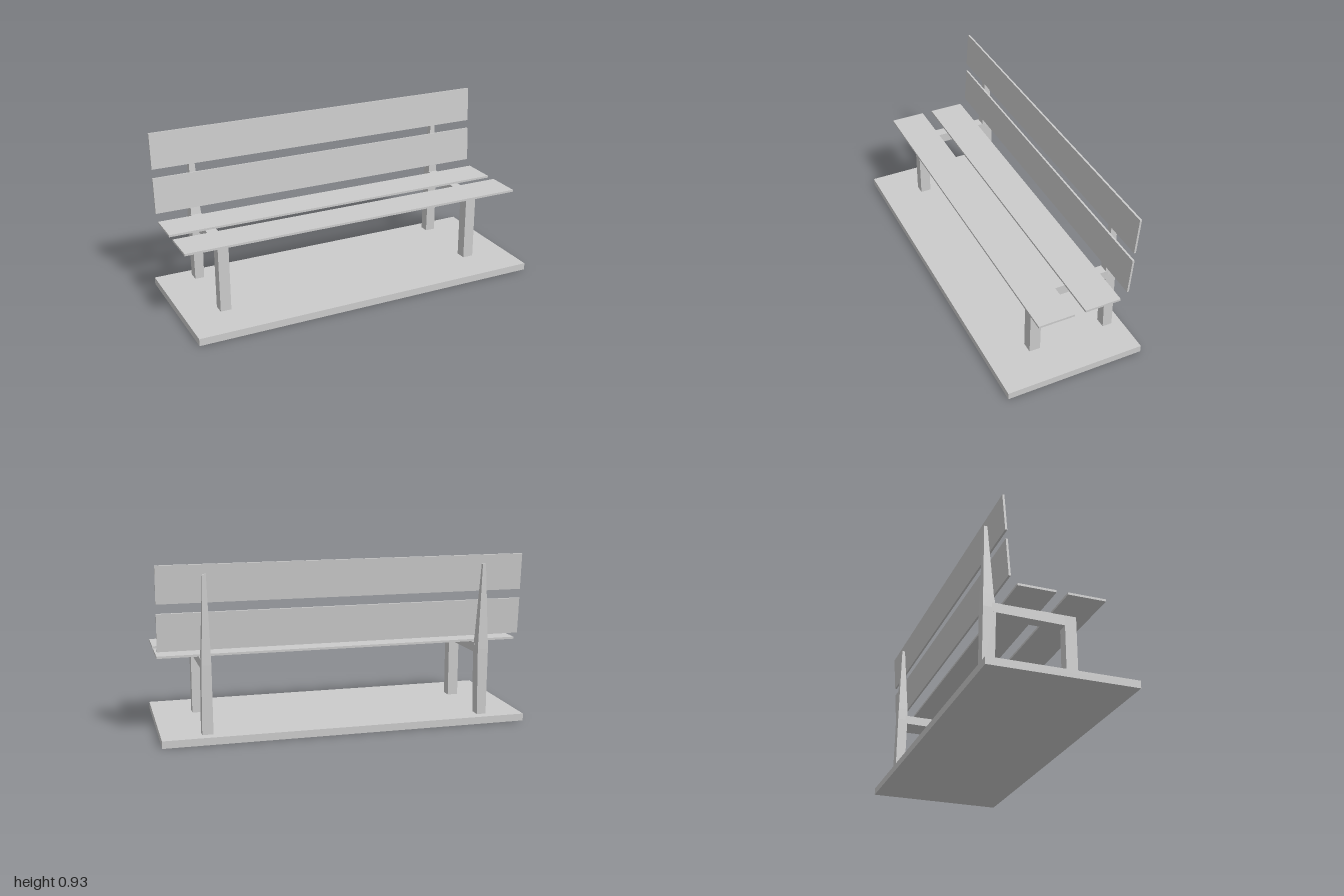
import * as THREE from 'three';

const material = new THREE.MeshStandardMaterial({ color: 0xcccccc, flatShading: true });

function add(group, name, geometry) {
  const mesh = new THREE.Mesh(geometry, material);
  mesh.name = name;
  group.add(mesh);
  return mesh;
}

// Box given by its limits on each axis
function block(x0, x1, y0, y1, z0, z1) {
  return new THREE.BoxGeometry(x1 - x0, y1 - y0, z1 - z0)
    .translate((x0 + x1) / 2, (y0 + y1) / 2, (z0 + z1) / 2);
}

// Upright box whose rectangular section changes with height: [y, x0, x1, zBack, zFront]
function taperedPost(sections) {
  const n = sections.length - 1;
  const geometry = new THREE.BoxGeometry(1, 1, 1, 1, n, 1);
  const p = geometry.attributes.position;
  for (let i = 0; i < p.count; i++) {
    const [y, x0, x1, zb, zf] = sections[Math.round((p.getY(i) + 0.5) * n)];
    p.setXYZ(i, p.getX(i) < 0 ? x0 : x1, y, p.getZ(i) < 0 ? zb : zf);
  }
  geometry.computeVertexNormals();
  return geometry;
}

// Arm under the seat with a slightly sloping underside
function seatRail(x0, x1) {
  const geometry = block(x0, x1, 0.379, 0.436, -0.285, 0.1);
  const p = geometry.attributes.position;
  for (let i = 0; i < p.count; i++) {
    if (p.getY(i) < 0.4 && p.getZ(i) < 0) p.setY(i, 0.385);
  }
  geometry.computeVertexNormals();
  return geometry;
}

export function createModel() {
  const bench = new THREE.Group();
  bench.name = 'bench';

  // Ground slab
  add(bench, 'baseSlab', block(-1, 1, 0, 0.04, -0.39, 0.39));

  // Seat planks
  for (const [name, z] of [['frontSeatPlank', 0.13], ['rearSeatPlank', -0.13]]) {
    add(bench, name, block(-1, 1, 0.435, 0.447, z - 0.1, z + 0.1));
  }

  // Backrest planks, leaning back
  for (const [name, y, z] of [['lowerBackPlank', 0.58, -0.275], ['upperBackPlank', 0.83, -0.291]]) {
    const plank = add(bench, name, new THREE.BoxGeometry(2, 0.2, 0.011));
    plank.position.set(0, y, z);
    plank.rotation.x = -0.07;
  }

  // Side frames: front leg, seat rail and tapered back post
  const frames = [
    {
      name: 'leftFrame', x0: 0.722, x1: 0.785,
      post: [
        [0.04, 0.728, 0.787, -0.335, -0.28],
        [0.41, 0.73, 0.782, -0.331, -0.273],
        [0.48, 0.732, 0.778, -0.329, -0.274],
        [0.88, 0.745, 0.763, -0.318, -0.301],
      ],
    },
    {
      name: 'rightFrame', x0: -0.802, x1: -0.742,
      post: [
        [0.04, -0.798, -0.746, -0.335, -0.27],
        [0.41, -0.802, -0.742, -0.331, -0.263],
        [0.48, -0.799, -0.745, -0.329, -0.274],
        [0.88, -0.781, -0.763, -0.318, -0.301],
      ],
    },
  ];
  for (const { name, x0, x1, post } of frames) {
    const frame = new THREE.Group();
    frame.name = name;
    add(frame, 'frontLeg', block(x0, x1, 0.04, 0.436, 0.1, 0.162));
    add(frame, 'seatRail', seatRail(x0 > 0 ? 0.729 : x0, x0 > 0 ? 0.782 : x1));
    add(frame, 'backPost', taperedPost(post));
    bench.add(frame);
  }
  return bench;
}
